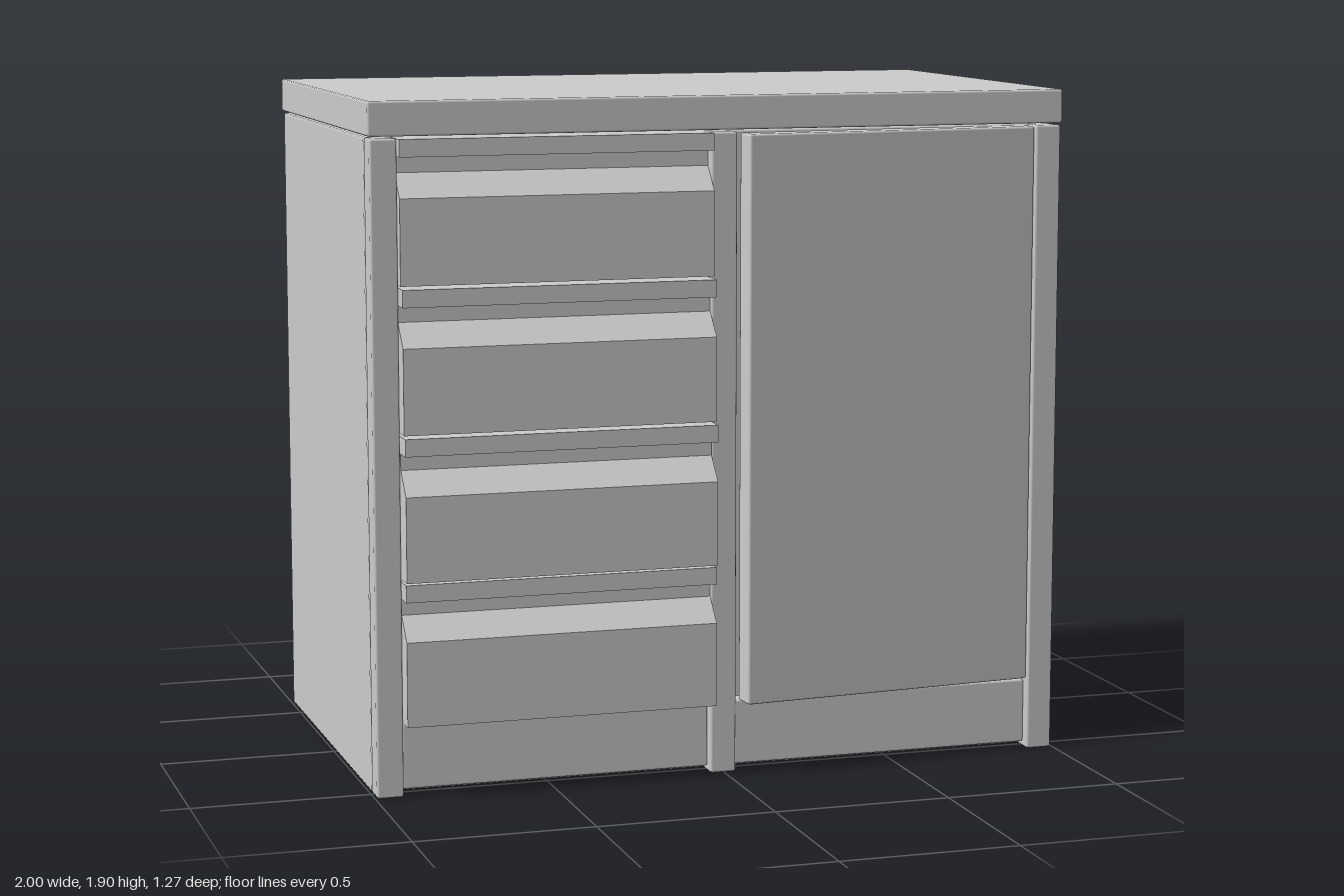
import * as THREE from 'three';
import { RoundedBoxGeometry } from 'three/addons/geometries/RoundedBoxGeometry.js';

export function createModel() {
  const model = new THREE.Group();
  model.name = 'cabinet';
  const grey = new THREE.MeshStandardMaterial({ color: 0xcccccc });
  grey.name = 'grey';

  // Box with finely chamfered edges, given by its extents
  function block(name, [x0, x1], [y0, y1], [z0, z1], parent = model) {
    const geo = new RoundedBoxGeometry(x1 - x0, y1 - y0, z1 - z0, 1, 0.007);
    const mesh = new THREE.Mesh(geo, grey);
    mesh.name = name;
    mesh.position.set((x0 + x1) / 2, (y0 + y1) / 2, (z0 + z1) / 2);
    parent.add(mesh);
    return mesh;
  }

  // Carcass and worktop
  block('carcass', [-0.995, 0.995], [0, 1.8], [-0.635, 0.485]);
  block('worktop', [-1, 1], [1.805, 1.9], [-0.64, 0.557]);

  // Upright frame posts
  for (const [name, x0, x1] of [
    ['rightPost', -0.995, -0.92], ['middlePost', -0.04, 0.035], ['leftPost', 0.92, 0.995],
  ]) block(name, [x0, x1], [0, 1.8], [0.485, 0.557]);

  // Plinth panels, set back slightly from the posts
  block('drawerPlinth', [-0.92, -0.04], [0.015, 0.2], [0.47, 0.532]);
  block('doorPlinth', [0.035, 0.92], [0.015, 0.2], [0.47, 0.532]);

  // Drawer fronts with a sloped finger groove, each pulled out a little differently
  const back = -0.12;
  const profile = new THREE.Shape([
    [back, 0], [0, 0], [0, 0.235], [-0.06, 0.3], [-0.06, 0.345], [0, 0.345], [0, 0.393], [back, 0.393],
  ].map(([z, y]) => new THREE.Vector2(z, y)));
  const drawerGeo = new THREE.ExtrudeGeometry(profile, { depth: 0.88, bevelEnabled: false });
  drawerGeo.rotateY(-Math.PI / 2); // profile depth becomes +z, extrusion runs along -x
  [0.582, 0.605, 0.62, 0.61].forEach((z, i) => {
    const drawer = new THREE.Mesh(drawerGeo, grey);
    drawer.name = `drawer${i + 1}`;
    drawer.position.set(-0.04, 1.406 - i * 0.4, z);
    model.add(drawer);
  });

  // Door, slightly ajar on its left hinge
  const hinge = new THREE.Group();
  hinge.name = 'door';
  hinge.position.set(0.917, 0, 0.555);
  hinge.rotation.y = 0.09;
  block('doorPanel', [-0.875, 0], [0.207, 1.797], [-0.072, 0], hinge);
  model.add(hinge);

  return model;
}
